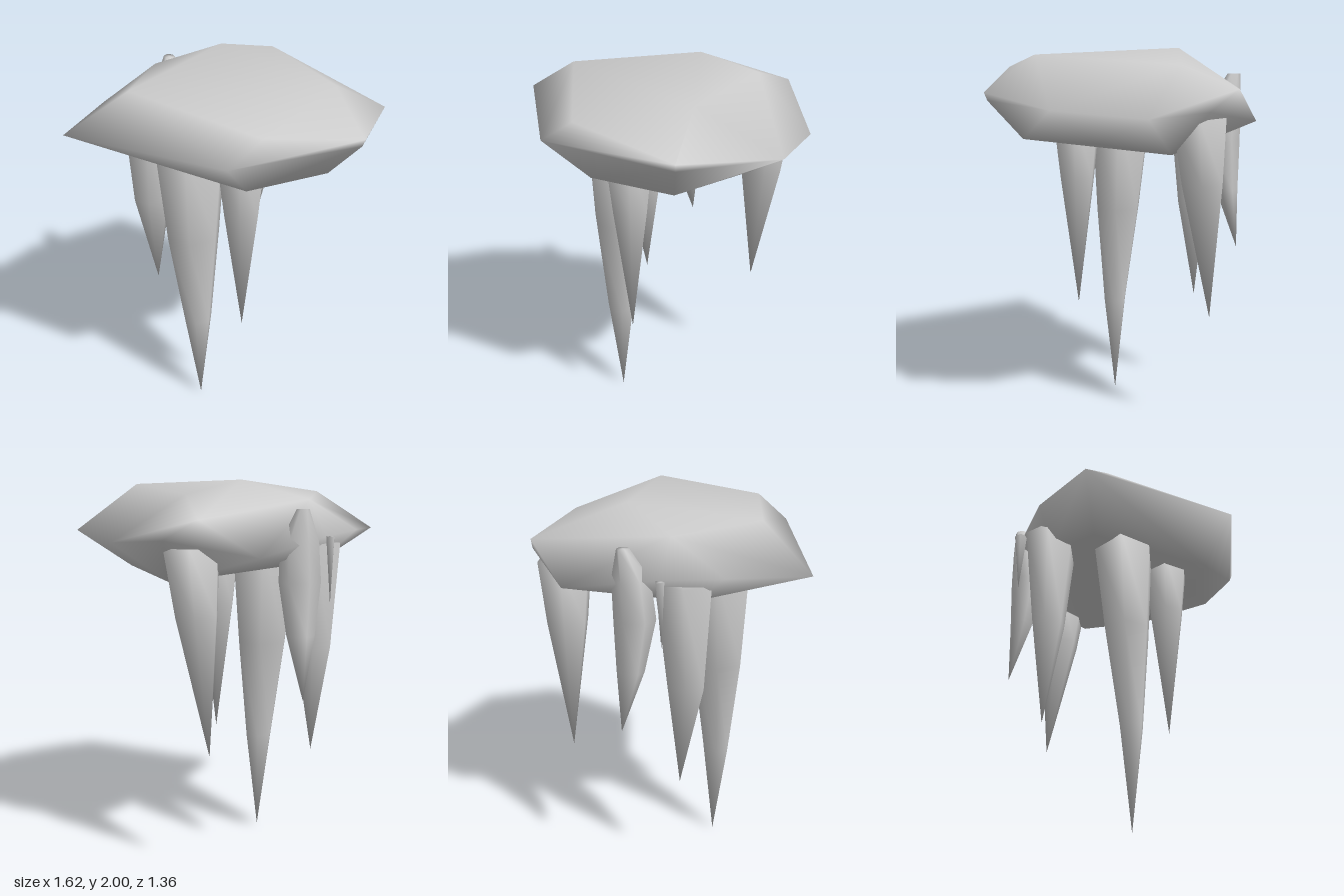
import * as THREE from 'three';
import { mergeVertices } from 'three/addons/utils/BufferGeometryUtils.js';
import { ConvexGeometry } from 'three/addons/geometries/ConvexGeometry.js';

const stone = new THREE.MeshStandardMaterial({ color: 0xcccccc, side: THREE.DoubleSide });

// Rounded rock: hull of a few corner points with shared, smooth normals
function rock(points) {
  let geo = new ConvexGeometry(points.map((p) => new THREE.Vector3(...p)));
  geo.deleteAttribute('normal');
  geo = mergeVertices(geo, 1e-4);
  geo.computeVertexNormals();
  return geo;
}

// Tapering spike lofted through rings [y, centreX, centreZ, radiusX, radiusZ] down to a tip
function spike(rings, tip, sides = 6, turn = 0) {
  const pos = [], index = [];
  for (const [y, cx, cz, rx, rz] of rings) {
    for (let i = 0; i < sides; i++) {
      const a = turn + (i / sides) * Math.PI * 2;
      pos.push(cx + Math.cos(a) * rx, y, cz + Math.sin(a) * rz);
    }
  }
  const end = rings.length * sides;
  pos.push(...tip, rings[0][1], rings[0][0], rings[0][2]);
  for (let i = 0; i < sides; i++) {
    const j = (i + 1) % sides;
    for (let r = 0; r < rings.length - 1; r++) {
      const a = r * sides + i, b = r * sides + j;
      index.push(a, b, a + sides, b, b + sides, a + sides);
    }
    const last = end - sides;
    index.push(last + i, last + j, end);
    index.push(j, i, end + 1);
  }
  const geo = new THREE.BufferGeometry();
  geo.setAttribute('position', new THREE.Float32BufferAttribute(pos, 3));
  geo.setIndex(index);
  geo.computeVertexNormals();
  return geo;
}

export function createModel() {
  const group = new THREE.Group();
  const add = (name, geo) => {
    const mesh = new THREE.Mesh(geo, stone);
    mesh.name = name;
    group.add(mesh);
  };

  // Flat, irregular boulder
  add('rockSlab', rock([
    // top
    [0.13, 2.0, -0.28], [0.41, 1.975, 0.42], [-0.49, 1.935, -0.02], [-0.1, 1.89, 0.65],
    [0.45, 1.93, -0.3], [-0.2, 1.9, -0.4],
    // rim
    [-0.81, 1.73, -0.1], [-0.5, 1.74, -0.39], [-0.22, 1.72, -0.53],
    [0.25, 1.64, -0.68], [0.52, 1.82, -0.58], [0.64, 1.72, -0.44],
    [0.79, 1.7, -0.16], [0.805, 1.74, 0.29], [0.435, 1.79, 0.675], [-0.275, 1.77, 0.655],
    [0.43, 1.75, 0.66],
    // underside
    [0.52, 1.5, -0.26], [0.1, 1.5, 0.0], [0.12, 1.53, 0.4], [-0.1, 1.55, 0.5],
    [0.35, 1.55, 0.5], [-0.4, 1.6, -0.1], [-0.3, 1.58, -0.35], [0.58, 1.56, 0.1],
  ]));

  // Hanging spikes
  add('longSpike', spike(
    [[1.65, -0.19, 0.04, 0.2, 0.18], [1.1, -0.19, 0.06, 0.15, 0.13], [0.55, -0.18, 0.08, 0.08, 0.065]],
    [-0.17, 0.0, 0.08]));
  add('frontSpike', spike(
    [[1.65, -0.015, 0.27, 0.14, 0.14], [1.3, -0.01, 0.27, 0.1, 0.1]],
    [0, 0.58, 0.27]));
  add('backLeftSpike', spike(
    [[1.68, 0.465, -0.39, 0.15, 0.15], [1.35, 0.45, -0.41, 0.115, 0.115]],
    [0.41, 0.64, -0.46]));
  add('backRightSpike', spike(
    [[1.68, -0.25, -0.36, 0.16, 0.15], [1.13, -0.26, -0.36, 0.11, 0.09]],
    [-0.24, 0.57, -0.38]));
  add('rearSpike', spike(
    [[1.86, -0.05, -0.575, 0.03, 0.035], [1.7, -0.06, -0.53, 0.1, 0.085],
      [1.5, -0.07, -0.52, 0.11, 0.095], [1.23, -0.06, -0.55, 0.075, 0.06]],
    [-0.04, 0.91, -0.61], 6, Math.PI / 6));
  add('smallSpike', spike(
    [[1.72, -0.235, -0.54, 0.025, 0.035]],
    [-0.24, 1.38, -0.54], 4));

  return group;
}
